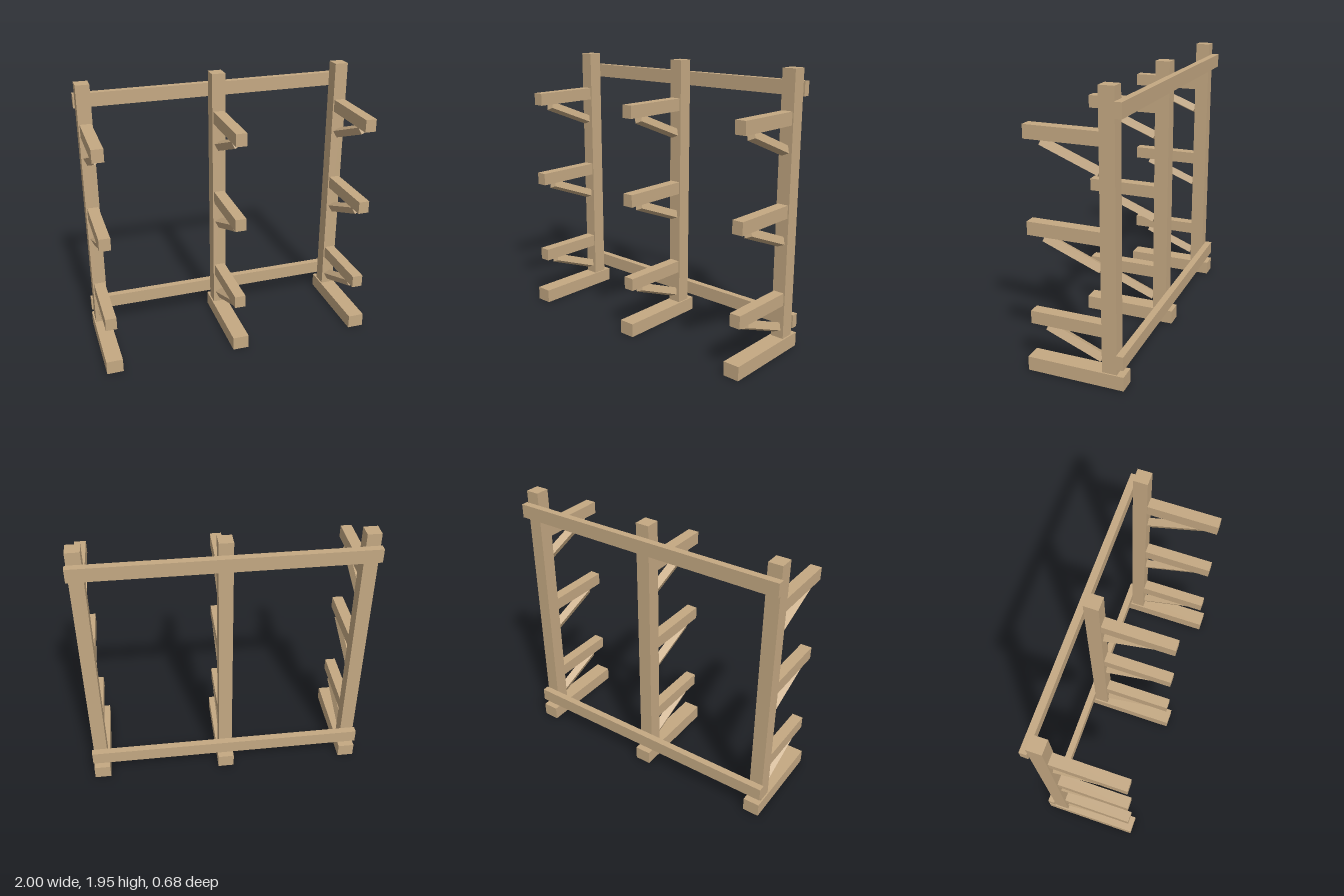
import * as THREE from 'three';

const wood = new THREE.MeshStandardMaterial({ color: 0xc4a882 });
wood.name = 'lightWood';

// Squared timber given by its size and centre
function beam(name, w, h, d, x, y, z) {
  const mesh = new THREE.Mesh(new THREE.BoxGeometry(w, h, d), wood);
  mesh.name = name;
  mesh.position.set(x, y, z);
  return mesh;
}

export function createModel() {
  const model = new THREE.Group();
  model.name = 'cantileverRack';

  for (const [side, x] of [['right', -0.94], ['middle', 0], ['left', 0.94]]) {
    const frame = new THREE.Group();
    frame.name = side + 'Frame';
    frame.position.x = x;

    // Foot and upright
    frame.add(beam('foot', 0.118, 0.1, 0.682, 0, 0.05, 0));
    frame.add(beam('upright', 0.097, 1.845, 0.102, 0, 1.0225, -0.239));

    // Three arms, each with a slanted, rolled brace beneath
    for (const y of [0.39, 1.01, 1.63]) {
      frame.add(beam('arm', 0.079, 0.09, 0.505, 0, y, 0.0625));
      const brace = beam('brace', 0.055, 0.055, 0.412, 0.001, y - 0.135, 0.013);
      brace.rotation.set(-0.377, 0, 0.41);
      frame.add(brace);
    }
    model.add(frame);
  }

  // Horizontal rails behind the uprights
  model.add(beam('lowerRail', 2, 0.097, 0.049, 0, 0.197, -0.3145));
  model.add(beam('upperRail', 2, 0.097, 0.049, 0, 1.81, -0.3145));

  return model;
}
